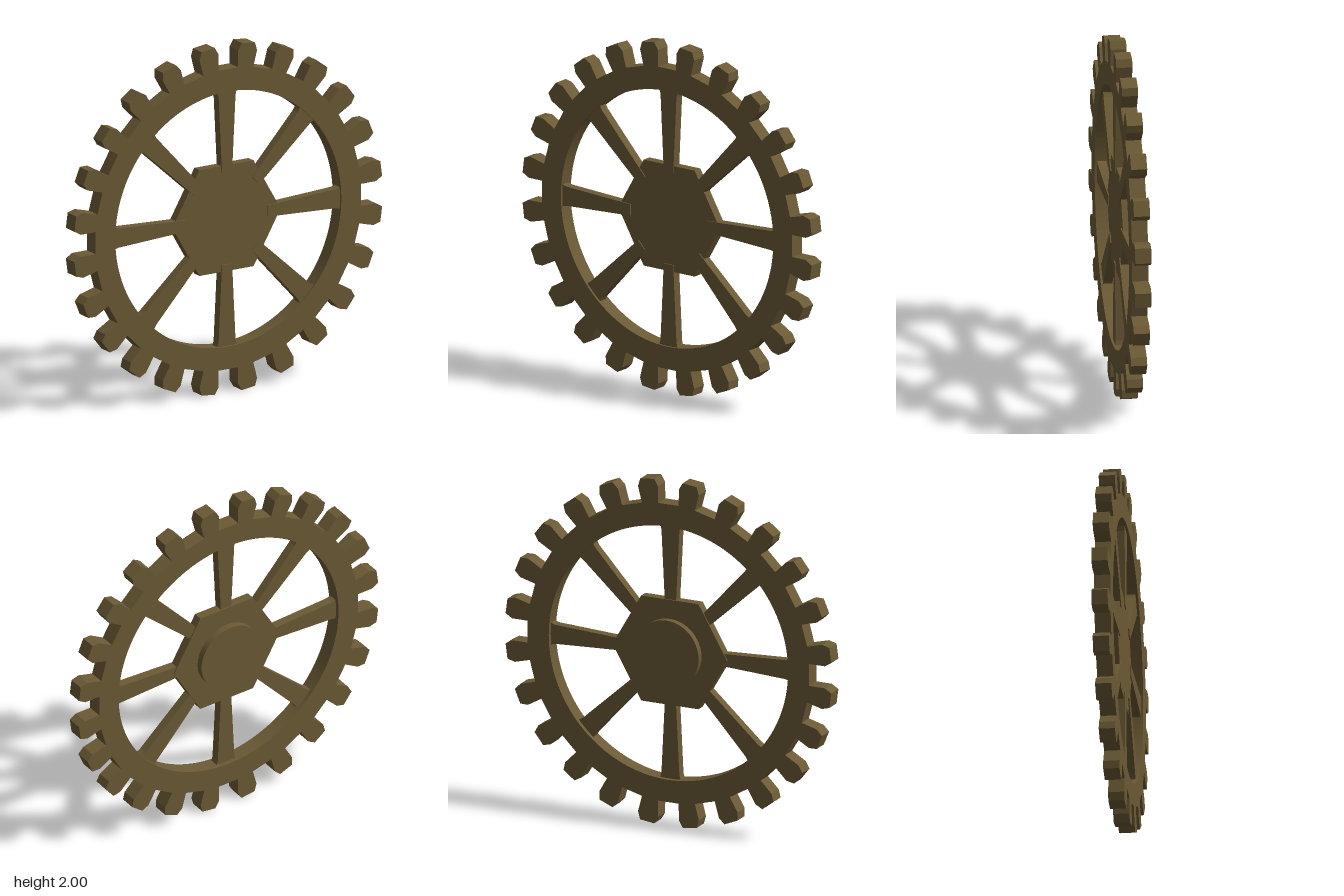
import * as THREE from 'three';

const TEETH = 24, SPOKES = 8;

// Extrudes a flat outline along z between two depths
function slab(shape, zBack, zFront) {
  const geo = new THREE.ExtrudeGeometry(shape, {
    depth: zFront - zBack, bevelEnabled: false, curveSegments: 64,
  });
  return geo.translate(0, 0, zBack);
}

export function createModel() {
  const model = new THREE.Group();
  model.name = 'gearWheel';
  const wheel = new THREE.Group();
  wheel.name = 'wheel';
  wheel.position.y = 1;
  model.add(wheel);

  const material = new THREE.MeshStandardMaterial({ color: 0x6b5a35 });
  const add = (name, geometry, parent = wheel) => {
    const mesh = new THREE.Mesh(geometry, material);
    mesh.name = name;
    parent.add(mesh);
    return mesh;
  };

  // Toothed rim: each tooth swells outward, then narrows to a flat tip
  const tooth = [[0.865, -0.05], [0.96, -0.062], [1.003, -0.043],
    [1.003, 0.043], [0.96, 0.062], [0.865, 0.05]];
  const outline = [];
  for (let i = 0; i < TEETH; i++) {
    const a = ((i + 0.5) / TEETH) * Math.PI * 2;
    for (const [r, w] of tooth) {
      outline.push(new THREE.Vector2(r, w).rotateAround(new THREE.Vector2(), a));
    }
  }
  const rim = new THREE.Shape(outline);
  rim.holes.push(new THREE.Path().absarc(0, 0, 0.735, 0, Math.PI * 2, true));
  add('toothedRim', slab(rim, -0.035, 0.055));

  // Spokes widen outward and flare where they meet the rim
  const half = [[0.265, 0.033], [0.705, 0.055], [0.722, 0.059], [0.745, 0.068]];
  const spokeShape = new THREE.Shape([
    ...half.map(([r, w]) => new THREE.Vector2(r, -w)),
    ...half.slice().reverse().map(([r, w]) => new THREE.Vector2(r, w)),
  ]);
  const spokeGeo = slab(spokeShape, -0.01, 0.042);
  const spokes = new THREE.Group();
  spokes.name = 'spokes';
  wheel.add(spokes);
  for (let i = 0; i < SPOKES; i++) {
    add('spoke', spokeGeo, spokes).rotation.z = (i / SPOKES) * Math.PI * 2;
  }

  // Hexagonal hub with flat top and bottom edges
  const hex = [];
  for (let i = 0; i < 6; i++) {
    const a = (i / 6) * Math.PI * 2;
    hex.push(new THREE.Vector2(Math.cos(a), Math.sin(a)).multiplyScalar(0.352));
  }
  add('hub', slab(new THREE.Shape(hex), -0.017, 0.036));

  // Round boss on the back of the hub
  const boss = new THREE.CylinderGeometry(0.195, 0.195, 0.065, 48);
  boss.rotateX(Math.PI / 2).translate(0, 0, -0.0225);
  add('boss', boss);

  return model;
}
